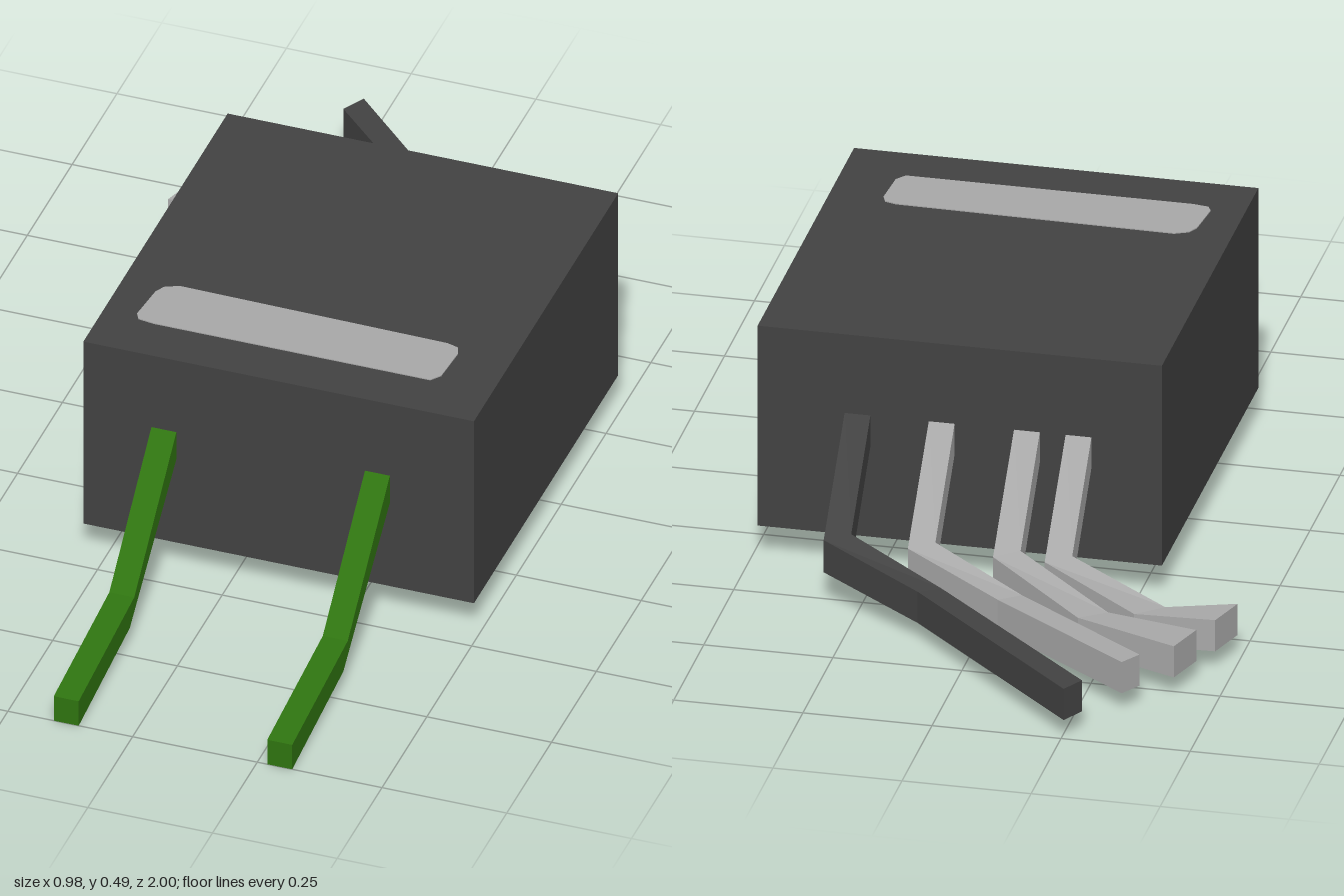
import * as THREE from 'three';

const material = (name, color) => {
  const m = new THREE.MeshStandardMaterial({ color });
  m.name = name;
  return m;
};

// Square bar skinned through sections [xa, za, xb, zb, yLow, yHigh].
function bar(sections) {
  const rings = sections.map(([xa, za, xb, zb, lo, hi, loB = lo, hiB = hi]) =>
    [[xa, lo, za], [xb, loB, zb], [xb, hiB, zb], [xa, hi, za]]);
  const pos = [];
  const quad = (a, b, c, d) => pos.push(...a, ...b, ...c, ...a, ...c, ...d);
  for (let i = 0; i < rings.length - 1; i++) {
    for (let j = 0; j < 4; j++) {
      const k = (j + 1) % 4;
      quad(rings[i][j], rings[i + 1][j], rings[i + 1][k], rings[i][k]);
    }
  }
  const s = rings[0], e = rings[rings.length - 1];
  quad(s[0], s[1], s[2], s[3]);
  quad(e[3], e[2], e[1], e[0]);
  const g = new THREE.BufferGeometry();
  g.setAttribute('position', new THREE.Float32BufferAttribute(pos, 3));
  g.computeVertexNormals();
  return g;
}

export function createModel() {
  const group = new THREE.Group();
  const charcoal = material('charcoal', 0x424242);
  const silver = material('silver', 0xa8a8a8);
  const green = material('green', 0x2f7410);

  const add = (name, geometry, mat) => {
    const mesh = new THREE.Mesh(geometry, mat);
    mesh.name = name;
    group.add(mesh);
    return mesh;
  };

  // Box body
  add('body', new THREE.BoxGeometry(0.783, 0.417, 0.805), charcoal).position.set(0.097, 0.2775, 0.0525);

  // Rounded label plate on the lid
  const outline = [[-0.23, 0.335], [-0.222, 0.255], [-0.212, 0.235], [-0.185, 0.222], [0.355, 0.23],
    [0.378, 0.237], [0.385, 0.255], [0.38, 0.335], [0.365, 0.355], [-0.19, 0.355], [-0.222, 0.35]];
  const shape = new THREE.Shape(outline.map(([x, z]) => new THREE.Vector2(x, -z)));
  const label = add('label', new THREE.ExtrudeGeometry(shape, { depth: 0.003, bevelEnabled: false }), silver);
  label.rotation.x = -Math.PI / 2;
  label.position.y = 0.485;

  // Bent front leads, extruded sideways from their side profile
  const profile = [[0.44, 0.275], [0.455, 0.26], [0.715, 0.042], [1, 0.003], [1, 0.059], [0.69, 0.096], [0.455, 0.322], [0.44, 0.322]];
  const side = new THREE.Shape(profile.map(([z, y]) => new THREE.Vector2(-z, y)));
  for (const [name, x] of [['frontLeadRight', -0.158], ['frontLeadLeft', 0.27]]) {
    const lead = add(name, new THREE.ExtrudeGeometry(side, { depth: 0.05, bevelEnabled: false }), green);
    lead.rotation.y = Math.PI / 2;
    lead.position.x = x;
  }

  // Rear wires: drop down, then fan out toward the right; [left edge x, bend, tip]
  const wires = [
    [0.27, [0.07, -0.62, 0.11, -0.645], [-0.28, -0.955, -0.255, -1], charcoal],
    [0.107, [-0.085, -0.615, -0.045, -0.645], [-0.36, -0.82, -0.335, -0.86], silver],
    [-0.058, [-0.26, -0.652, -0.21, -0.688], [-0.44, -0.69, -0.415, -0.77], silver],
    [-0.158, [-0.36, -0.605, -0.31, -0.648], [-0.49, -0.56, -0.465, -0.64], silver],
  ];
  wires.forEach(([x, bend, tip, mat], i) => {
    add('rearWire' + (i + 1), bar([
      [x, -0.34, x + 0.05, -0.34, 0.27, 0.325],
      [x, -0.35, x + 0.05, -0.35, 0.258, 0.322],
      [x, -0.51, x + 0.05, -0.525, 0.082, 0.148, 0.07, 0.137],
      [...bend, 0.042, 0.107],
      [...tip, 0.042, 0.107],
    ]), mat);
  });

  return group;
}
